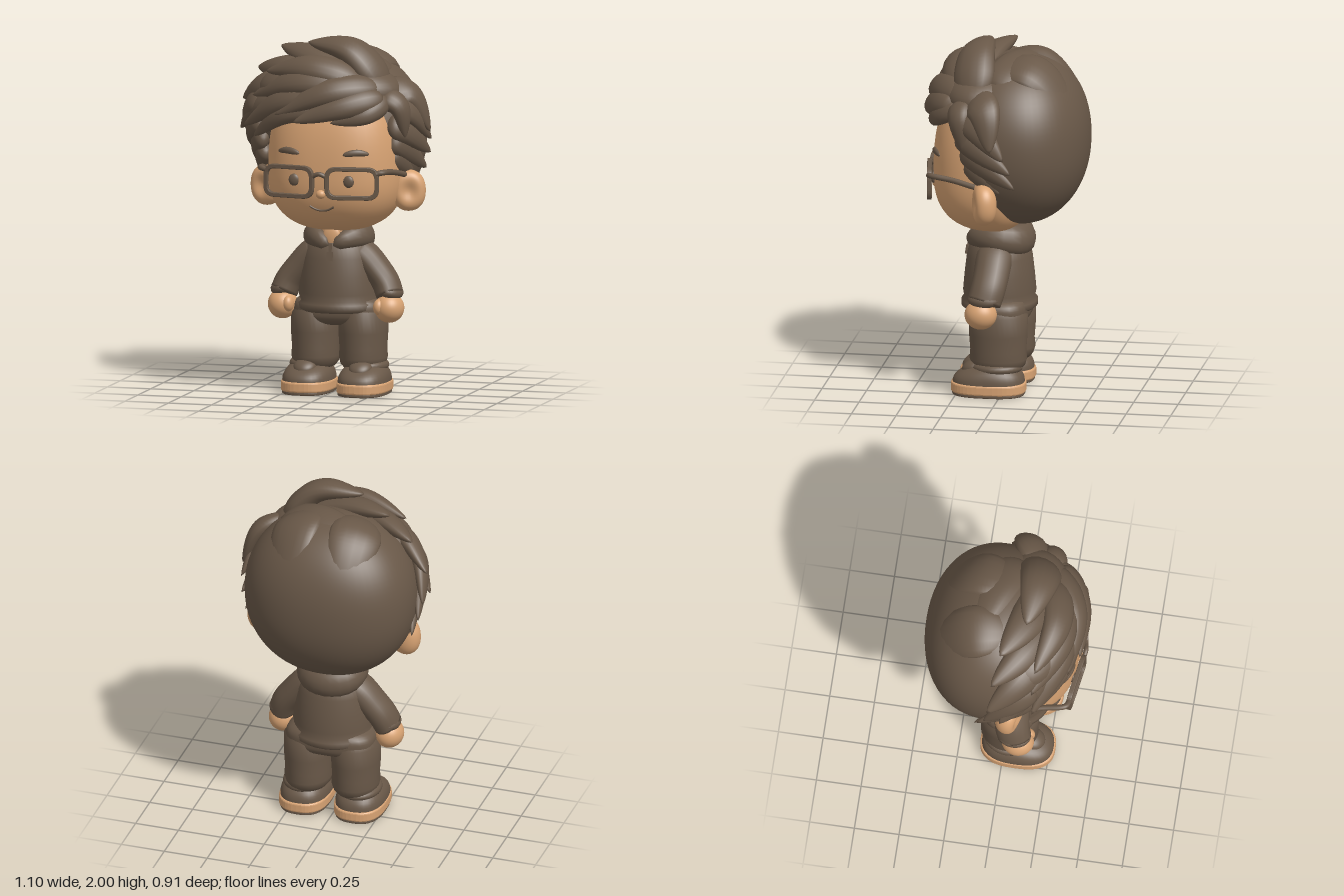
import * as THREE from 'three';
import { mergeVertices } from 'three/addons/utils/BufferGeometryUtils.js';

const V = (a) => new THREE.Vector3(...a);

export function createModel() {
  const root = new THREE.Group();
  const brown = new THREE.MeshStandardMaterial({ color: 0x695848 });
  brown.name = 'dark brown';
  const skin = new THREE.MeshStandardMaterial({ color: 0xd8a373 });
  skin.name = 'skin tan';

  // Head, body and clothes share a slightly offset centre line
  const figure = new THREE.Group();
  figure.name = 'figure';
  figure.position.x = 0.025;
  const hair = new THREE.Group();
  hair.name = 'hair';
  root.add(figure, hair);

  const add = (name, geo, mat, pos = [0, 0, 0], parent = figure) => {
    const m = new THREE.Mesh(geo, mat);
    m.name = name;
    m.position.set(...pos);
    parent.add(m);
    return m;
  };
  const smooth = (g) => {
    g.deleteAttribute('uv');
    g.deleteAttribute('normal');
    g = mergeVertices(g, 1e-5);
    g.computeVertexNormals();
    return g;
  };
  // Rounded blob: n = 2 is an ellipsoid, larger n is boxier; rule edits each unit vertex
  const blob = (rx, ry, rz, n = 2, rule = null, seg = 40) => {
    const g = new THREE.SphereGeometry(1, seg, Math.round(seg * 0.7));
    const p = g.attributes.position, v = new THREE.Vector3();
    for (let i = 0; i < p.count; i++) {
      v.fromBufferAttribute(p, i);
      const k = (Math.abs(v.x) ** n + Math.abs(v.y) ** n + Math.abs(v.z) ** n) ** (-1 / n);
      v.multiplyScalar(k);
      if (rule) rule(v);
      p.setXYZ(i, v.x * rx, v.y * ry, v.z * rz);
    }
    return smooth(g);
  };
  // Sweep of elliptical rings along a curve, its thickness pointing away from centre
  const sweep = (pts, w, h, profile, centre) => {
    const N = 26, M = 16, c = new THREE.CatmullRomCurve3(pts.map(V)), pos = [], idx = [];
    for (let i = 0; i <= N; i++) {
      const t = i / N, p = c.getPoint(t), T = c.getTangent(t), r = profile(t);
      const out = p.clone().sub(V(centre));
      out.addScaledVector(T, -out.dot(T)).normalize();
      const side = T.clone().cross(out);
      for (let j = 0; j < M; j++) {
        const a = (j / M) * Math.PI * 2;
        const q = p.clone().addScaledVector(side, Math.cos(a) * w * r).addScaledVector(out, Math.sin(a) * h * r);
        pos.push(q.x, q.y, q.z);
        if (i < N) {
          const A = i * M + j, B = i * M + (j + 1) % M;
          idx.push(A, A + M, B, B, A + M, B + M);
        }
      }
    }
    const g = new THREE.BufferGeometry();
    g.setAttribute('position', new THREE.Float32BufferAttribute(pos, 3));
    g.setIndex(idx);
    const m = mergeVertices(g, 1e-5);
    m.computeVertexNormals();
    return m;
  };
  const tube = (pts, r) => new THREE.TubeGeometry(new THREE.CatmullRomCurve3(pts.map(V)), 20, r, 10);

  // Head: taller above its centre than below, tapered at the back to sit inside the hair
  const H = { y: 1.25, z: 0.05, rx: 0.38, up: 0.55, down: 0.34, rz: 0.35, n: 2.5 };
  add('head', blob(H.rx, 1, H.rz, H.n, (v) => {
    v.y *= v.y > 0 ? H.up : H.down;
    if (v.z < 0) {
      v.x *= 1 - 0.4 * v.z * v.z;
      v.z *= 0.62;
    }
  }, 56), skin, [0, H.y, H.z]);
  const faceZ = (x, y) => {
    const dy = Math.abs(y - H.y) / (y > H.y ? H.up : H.down);
    return H.z + H.rz * (1 - dy ** H.n - Math.abs(x / H.rx) ** H.n) ** (1 / H.n);
  };
  add('nose', blob(0.028, 0.025, 0.025), skin, [0, 1.15, faceZ(0, 1.15)]);
  add('mouth', tube([-0.07, -0.035, 0, 0.035, 0.07].map((x) => {
    const y = 1.055 + 5 * x * x;
    return [x, y, faceZ(x, y)];
  }), 0.006), brown);
  add('neck', new THREE.CylinderGeometry(0.11, 0.13, 0.18, 24), skin, [0, 0.88, 0.06]);

  for (const s of [-1, 1]) {
    const side = s > 0 ? 'left' : 'right';
    add(side + 'Eye', blob(0.031, 0.034, 0.016), brown, [s * 0.157, 1.225, faceZ(0.157, 1.225)]);
    const brow = [0.125, 0.17, 0.215, 0.262].map((x, i) => {
      const y = 1.373 + [0, 0.01, 0.012, 0.002][i];
      return [s * x, y, faceZ(x, y)];
    });
    add(side + 'Eyebrow', sweep(brow, 0.019, 0.014, (t) => Math.sin(Math.PI * t) ** 0.4, [0, 1.25, -0.3]), brown);
    // Ear with a shallow hollow facing forward
    const ear = blob(0.095, 0.115, 0.072, 2.2, (v) => {
      if (v.z > 0) v.z -= 0.5 * Math.exp(-(v.x * v.x + v.y * v.y) / 0.25);
    });
    add(side + 'Ear', ear, skin, [s * 0.41, 1.145, 0.063]).rotation.y = s * 0.35;

    // Spectacle rim, rounded rectangle with a hole
    const rect = (P, w, h, r) => {
      P.moveTo(-w + r, -h); P.lineTo(w - r, -h); P.quadraticCurveTo(w, -h, w, -h + r);
      P.lineTo(w, h - r); P.quadraticCurveTo(w, h, w - r, h);
      P.lineTo(-w + r, h); P.quadraticCurveTo(-w, h, -w, h - r);
      P.lineTo(-w, -h + r); P.quadraticCurveTo(-w, -h, -w + r, -h);
      return P;
    };
    const rim = rect(new THREE.Shape(), 0.148, 0.088, 0.06);
    rim.holes.push(rect(new THREE.Path(), 0.132, 0.072, 0.048));
    const rimGeo = new THREE.ExtrudeGeometry(rim, { depth: 0.018, bevelSize: 0.004, bevelThickness: 0.004, bevelSegments: 2, curveSegments: 8 });
    add(side + 'SpectacleRim', rimGeo, brown, [s * 0.18, 1.218, 0.395]).rotation.y = s * 0.16;
    add(side + 'SpectacleArm', tube([[s * 0.315, 1.275, 0.385], [s * 0.352, 1.283, 0.37], [s * 0.375, 1.27, 0.25], [s * 0.4, 1.24, 0.11]], 0.016), brown);
  }
  add('spectacleBridge', tube([[-0.045, 1.25, 0.425], [0, 1.268, 0.432], [0.045, 1.25, 0.425]], 0.013), brown);

  // Hair mass: ellipsoid cut off in front by a sloping hairline
  const cap = blob(0.485, 0.48, 0.39, 2.15, (v) => {
    const y = 1.43 + v.y * 0.48;
    const limit = -0.02 + (y - 1.05) * (y < 1.05 ? 1.1 : 0.5);
    v.z = Math.min(v.z, (limit + 0.07) / 0.39);
  }, 64);
  add('hairCap', cap, brown, [0, 1.43, -0.07], hair);
  add('fringeBase', blob(0.41, 0.17, 0.25), brown, [0, 1.7, 0.12], hair);

  // Hair locks: rounded root, pointed tip
  const leaf = (t) => {
    const u = Math.min(1, t / 0.3);
    return Math.sqrt(u * (2 - u)) * Math.max(0, 1 - t ** 2.5) ** 0.75;
  };
  const lobe = (t) => Math.sqrt(Math.max(0, 4 * t * (1 - t)));
  const lock = (a, b, c, w, h, shape = leaf) =>
    add('hairLock', sweep([a, b, c], w, h, shape, [0, 1.4, 0]), brown, [0, 0, 0], hair);
  // Crown, swept from the parting to the right
  lock([0.33, 1.7, 0.14], [0.14, 1.92, 0.15], [-0.13, 1.96, 0.12], 0.125, 0.075);
  lock([0.32, 1.76, 0], [0.08, 1.86, -0.08], [-0.25, 1.86, -0.17], 0.14, 0.07);
  lock([0.25, 1.74, 0.2], [-0.06, 1.87, 0.12], [-0.32, 1.92, 0.0], 0.12, 0.07);
  lock([0.22, 1.77, 0.24], [-0.06, 1.84, 0.28], [-0.35, 1.8, 0.2], 0.1, 0.065);
  lock([0.05, 1.76, 0.24], [-0.23, 1.81, 0.13], [-0.46, 1.79, -0.03], 0.11, 0.07);
  lock([-0.08, 1.73, 0.26], [-0.36, 1.72, 0.13], [-0.55, 1.61, -0.04], 0.11, 0.065);
  lock([-0.1, 1.68, 0.28], [-0.38, 1.62, 0.17], [-0.545, 1.45, 0.03], 0.1, 0.06);
  // Fringe
  lock([0.2, 1.76, 0.27], [-0.12, 1.77, 0.31], [-0.43, 1.66, 0.19], 0.1, 0.06);
  lock([0.12, 1.7, 0.32], [-0.2, 1.66, 0.32], [-0.48, 1.49, 0.2], 0.09, 0.06);
  lock([0.05, 1.64, 0.36], [-0.2, 1.59, 0.34], [-0.41, 1.44, 0.24], 0.08, 0.05);
  lock([0.32, 1.74, 0.22], [0.06, 1.72, 0.37], [-0.25, 1.58, 0.37], 0.09, 0.06);
  lock([0.35, 1.69, 0.26], [0.14, 1.64, 0.39], [-0.13, 1.55, 0.42], 0.08, 0.055);
  lock([0.36, 1.68, 0.22], [0.27, 1.6, 0.35], [0.08, 1.55, 0.4], 0.065, 0.045);
  // Left of the parting
  lock([0.3, 1.68, 0.14], [0.44, 1.68, 0.06], [0.545, 1.47, 0.01], 0.11, 0.065);
  lock([0.31, 1.69, 0.2], [0.42, 1.63, 0.2], [0.45, 1.45, 0.18], 0.08, 0.055);
  lock([0.3, 1.71, 0.2], [0.36, 1.7, 0.1], [0.39, 1.67, -0.05], 0.08, 0.06);
  // Side locks, mirrored
  for (const s of [-1, 1]) {
    lock([s * 0.36, 1.66, 0.2], [s * 0.46, 1.59, 0.1], [s * 0.53, 1.42, -0.06], 0.09, 0.05);
    lock([s * 0.36, 1.55, 0.2], [s * 0.44, 1.48, 0.12], [s * 0.515, 1.34, -0.1], 0.085, 0.05);
    lock([s * 0.36, 1.46, 0.18], [s * 0.42, 1.39, 0.1], [s * 0.485, 1.25, -0.12], 0.08, 0.05);
    lock([s * 0.36, 1.38, 0.16], [s * 0.4, 1.31, 0.1], [s * 0.44, 1.21, -0.03], 0.07, 0.045);
    // Soft lobes on the back of the crown
    lock([s * 0.14, 1.84, 0.05], [s * 0.17, 1.84, -0.17], [s * 0.17, 1.63, -0.39], 0.15, 0.06, lobe);
  }

  // Jumper body with hem band
  const prof = [[0, 0.46], [0.215, 0.46], [0.235, 0.475], [0.235, 0.505], [0.218, 0.522], [0.225, 0.56], [0.215, 0.66], [0.202, 0.76], [0.175, 0.85], [0.1, 0.91]];
  const body = add('jumperBody', new THREE.LatheGeometry(prof.map((p) => new THREE.Vector2(...p)), 48), brown, [0, 0, 0.04]);
  body.scale.z = 0.9;
  // Hood folded round the neck, open in a V at the front and full at the back
  const hood = [[-0.012, 0.835, 0.2], [-0.085, 0.872, 0.165], [-0.135, 0.885, 0.06], [-0.1, 0.87, -0.05]];
  const hoodPath = [...hood, [0, 0.86, -0.085], ...hood.reverse().map(([x, y, z]) => [-x, y, z])];
  add('hood', sweep(hoodPath, 0.095, 0.075, (t) => {
    const u = Math.sin(Math.PI * t);
    return Math.min(1, u * 10) * (0.3 + 0.7 * u);
  }, [0, 0.83, 0.05]), brown);
  add('neckOpening', blob(0.05, 0.06, 0.02), skin, [0, 0.885, 0.18]);
  add('zip', new THREE.BoxGeometry(0.016, 0.09, 0.02), brown, [0, 0.805, 0.21]).rotation.x = -0.15;
  add('zipPull', new THREE.BoxGeometry(0.034, 0.05, 0.016), brown, [0, 0.778, 0.222]).rotation.x = -0.15;
  add('hips', blob(0.255, 0.09, 0.165, 3), brown, [0, 0.465, 0.025]);

  // Shoe outline, extruded with rounded edges
  const slab = (depth, w, l, bevel) => {
    const P = new THREE.Shape();
    for (let i = 0; i < 48; i++) {
      const a = (i / 48) * Math.PI * 2, c = Math.cos(a), d = Math.sin(a);
      P[i ? 'lineTo' : 'moveTo'](Math.sign(c) * Math.abs(c) ** 0.75 * w, Math.sign(d) * Math.abs(d) ** 0.75 * l);
    }
    return new THREE.ExtrudeGeometry(P, { depth, bevelSize: bevel, bevelThickness: bevel, bevelSegments: 3 }).rotateX(-Math.PI / 2);
  };

  for (const s of [-1, 1]) {
    const side = s > 0 ? 'left' : 'right';
    // Arm sloping smoothly out of the shoulder, and hand
    const arm = [[s * 0.06, 0.815, 0.04], [s * 0.15, 0.77, 0.045], [s * 0.225, 0.69, 0.05], [s * 0.278, 0.62, 0.06], [s * 0.31, 0.545, 0.08]];
    add(side + 'Sleeve', sweep(arm, 0.108, 0.085, (t) => Math.min(1, Math.sqrt(t * 5 + 0.02)) * (t > 0.99 ? 0.5 : 0.98 - 0.1 * t), [0, 0.6, 0.05]), brown);
    const cuff = add(side + 'Cuff', new THREE.TorusGeometry(0.055, 0.03, 12, 28), brown, [s * 0.308, 0.578, 0.075]);
    cuff.rotation.set(Math.PI / 2, s * -0.25, 0);
    cuff.scale.set(0.85, 1.1, 1);
    add(side + 'Hand', blob(0.082, 0.083, 0.09), skin, [s * 0.308, 0.487, 0.095]);
    add(side + 'Thumb', blob(0.032, 0.045, 0.04), skin, [s * 0.262, 0.495, 0.145]);

    // Trouser leg with a gathered bottom
    const leg = [[0, 0.14], [0.105, 0.14], [0.125, 0.165], [0.134, 0.2], [0.13, 0.25], [0.136, 0.34], [0.137, 0.45], [0.1, 0.5]];
    const legMesh = add(side + 'TrouserLeg', new THREE.LatheGeometry(leg.map((p) => new THREE.Vector2(...p)), 36), brown, [s * 0.137, 0, 0.025]);
    legMesh.scale.z = 1.2;

    // Shoe
    const shoe = new THREE.Group();
    shoe.name = side + 'Shoe';
    shoe.position.set(s * 0.16, 0, 0.075);
    figure.add(shoe);
    add('outsole', slab(0.008, 0.13, 0.196, 0.006), brown, [0, 0.006, 0], shoe);
    add('sole', slab(0.036, 0.132, 0.198, 0.011), skin, [0, 0.026, 0], shoe);
    // Upper falls away towards the toe
    add('upper', blob(0.138, 0.115, 0.2, 2.5, (v) => { v.y = Math.max(0, v.y) * (1 - 0.3 * Math.max(0, v.z)); }), brown, [0, 0.066, 0], shoe);
    const collar = add('collar', new THREE.TorusGeometry(0.095, 0.026, 12, 32), brown, [0, 0.155, -0.045], shoe);
    collar.rotation.x = Math.PI / 2;
    collar.scale.y = 1.2;
    add('tongue', blob(0.065, 0.04, 0.07), brown, [0, 0.15, 0.085], shoe).rotation.x = 0.4;
  }
  return root;
}
